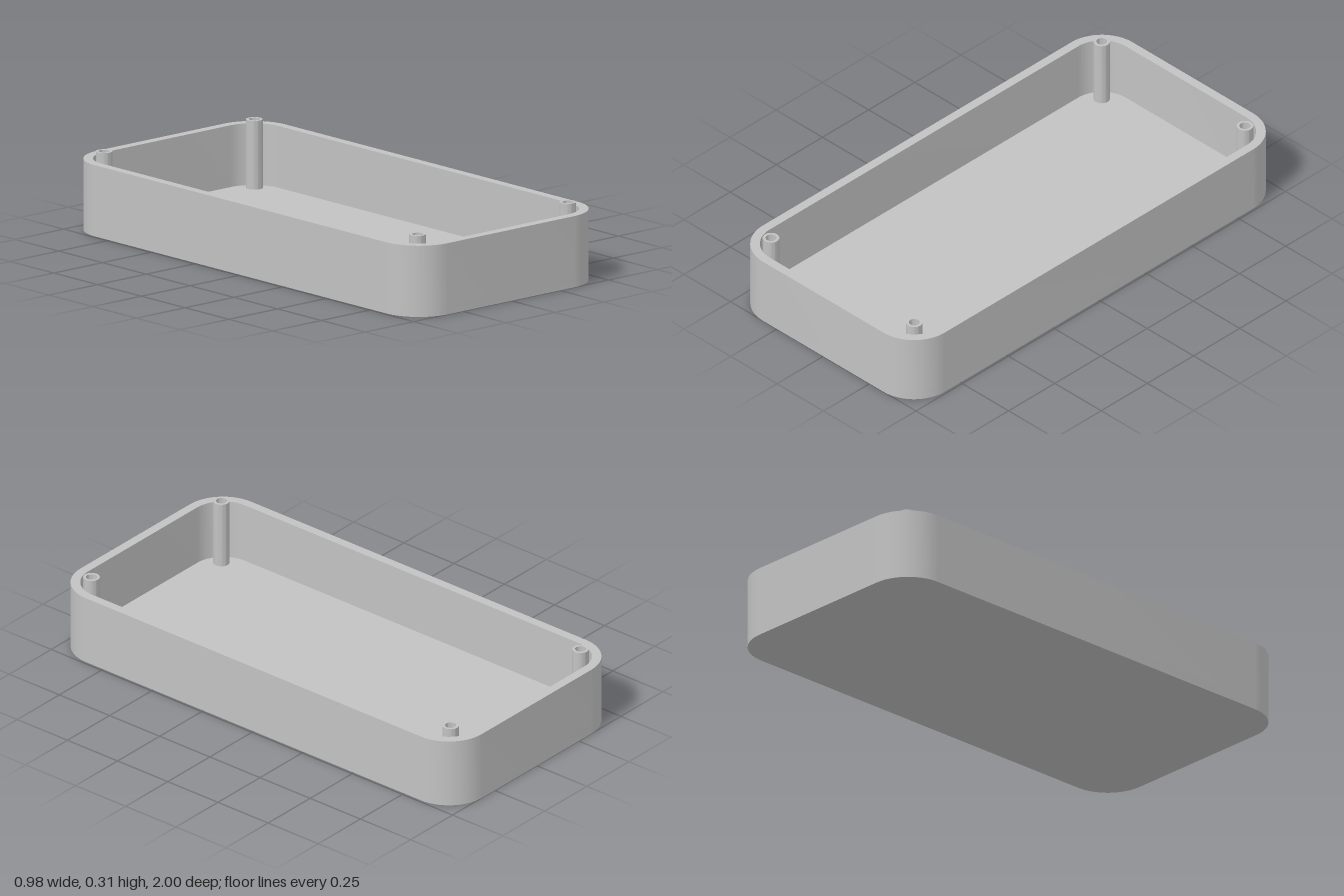
import * as THREE from 'three';
import { toCreasedNormals } from 'three/addons/utils/BufferGeometryUtils.js';

const HALF_X = 0.49, HALF_Z = 1, HEIGHT = 0.28, CORNER = 0.165;
const WALL = 0.037, FLOOR = 0.037;
const POST_X = 0.386, POST_Z = 0.895, POST_TOP = 0.307, POST_R = 0.032, BORE_R = 0.021;

// Rounded rectangle, shrunk on all sides by inset
function outline(inset, Type = THREE.Shape) {
  const x = HALF_X - inset, z = HALF_Z - inset, r = CORNER - inset;
  const s = new Type();
  s.moveTo(x, -z + r);
  s.lineTo(x, z - r);
  s.absarc(x - r, z - r, r, 0, Math.PI / 2);
  s.absarc(-x + r, z - r, r, Math.PI / 2, Math.PI);
  s.absarc(-x + r, -z + r, r, Math.PI, Math.PI * 1.5);
  s.absarc(x - r, -z + r, r, Math.PI * 1.5, Math.PI * 2);
  return s;
}

// Upright prism from a plan shape between two heights
function prism(shape, y0, y1) {
  const g = new THREE.ExtrudeGeometry(shape, { depth: y1 - y0, bevelEnabled: false, curveSegments: 16 });
  g.rotateX(-Math.PI / 2);
  g.translate(0, y0, 0);
  return toCreasedNormals(g, Math.PI / 6);
}

export function createModel() {
  const model = new THREE.Group();
  model.name = 'enclosureTray';
  const plastic = new THREE.MeshStandardMaterial({ color: 0xc2c2c2 });
  plastic.name = 'grey plastic';

  const add = (name, geometry) => {
    const mesh = new THREE.Mesh(geometry, plastic);
    mesh.name = name;
    model.add(mesh);
    return mesh;
  };

  // Base plate
  add('floor', prism(outline(0), 0, FLOOR));

  // Surrounding wall
  const ring = outline(0);
  ring.holes.push(outline(WALL, THREE.Path));
  add('wall', prism(ring, FLOOR, HEIGHT));

  // Hollow screw posts, standing slightly above the rim
  const profile = [[POST_R, FLOOR], [POST_R, POST_TOP], [BORE_R, POST_TOP], [BORE_R, FLOOR]]
    .map(([r, y]) => new THREE.Vector2(r, y));
  const post = toCreasedNormals(new THREE.LatheGeometry(profile, 32).toNonIndexed(), Math.PI / 6);
  for (const [sx, side] of [[1, 'Left'], [-1, 'Right']])
    for (const [sz, end] of [[1, 'front'], [-1, 'back']])
      add(`${end}${side}Post`, post).position.set(sx * POST_X, 0, sz * POST_Z);

  return model;
}
